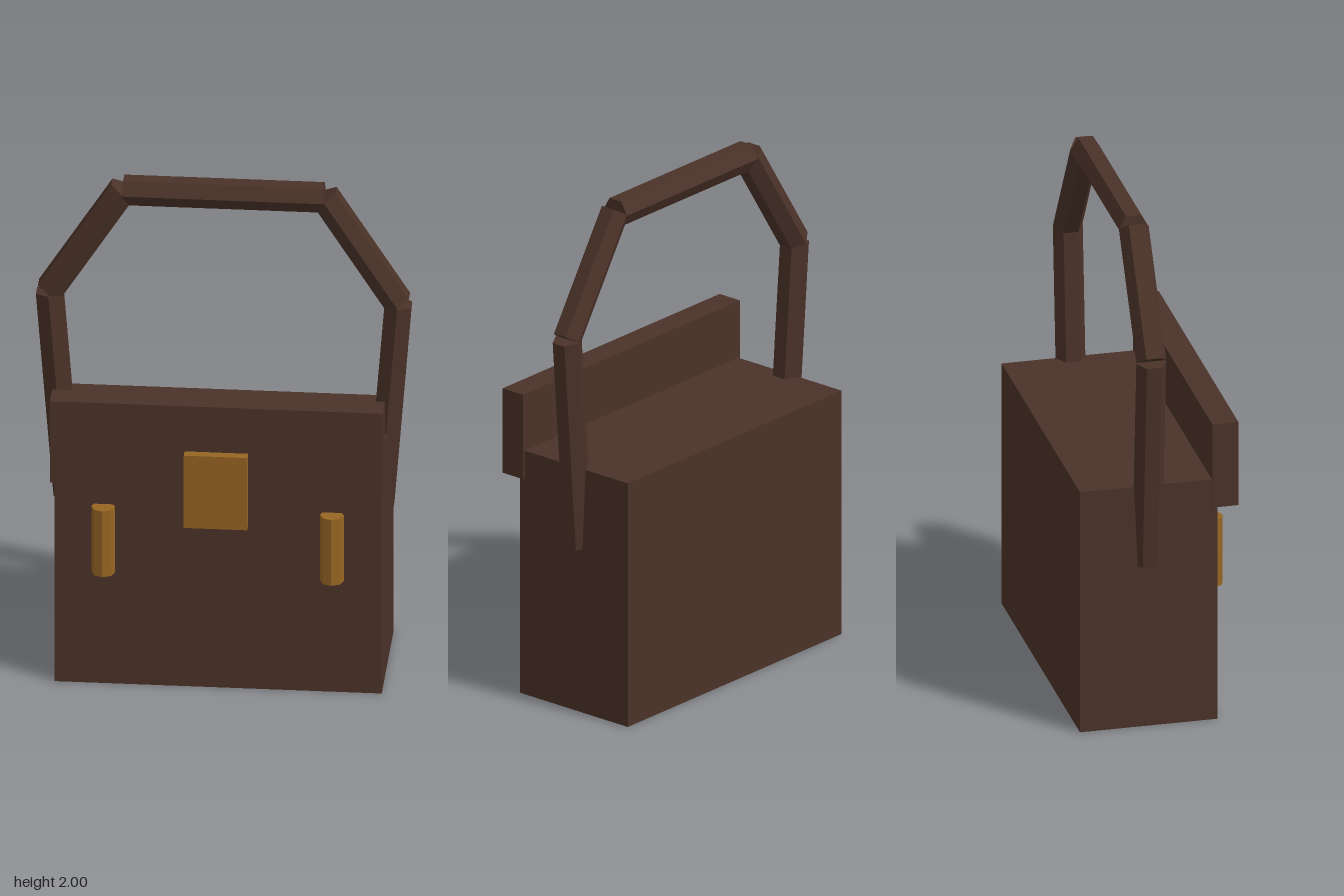
import * as THREE from 'three';

export function createModel() {
  const bag = new THREE.Group();
  bag.name = 'satchel';

  const leather = new THREE.MeshStandardMaterial({ color: 0x4a3228, flatShading: true });
  leather.name = 'brown leather';
  const brass = new THREE.MeshStandardMaterial({ color: 0x966522, flatShading: true });
  brass.name = 'brass';

  function add(name, geometry, material, x, y, z) {
    const mesh = new THREE.Mesh(geometry, material);
    mesh.name = name;
    mesh.position.set(x, y, z);
    bag.add(mesh);
    return mesh;
  }

  // Box given by its half width and its y and z limits
  function addBox(name, material, halfWidth, y0, y1, z0, z1) {
    const geometry = new THREE.BoxGeometry(halfWidth * 2, y1 - y0, z1 - z0);
    add(name, geometry, material, 0, (y0 + y1) / 2, (z0 + z1) / 2);
  }

  addBox('body', leather, 0.62, 0, 0.99, -0.325, 0.21);
  addBox('flap', leather, 0.63, 0.877, 1.22, 0.187, 0.288);
  addBox('clasp', brass, 0.12, 0.725, 1.03, 0.285, 0.325);

  // Octagonal buckles on the front
  for (const [side, sign] of [['left', 1], ['right', -1]]) {
    add(side + 'Buckle', new THREE.CylinderGeometry(0.045, 0.045, 0.277, 8), brass, sign * 0.433, 0.617, 0.23);
  }

  // Handle: straight hexagonal bars, open at the joints as separate pieces
  function addBar(name, x0, y0, x1, y1) {
    const length = Math.hypot(x1 - x0, y1 - y0);
    const geometry = new THREE.CylinderGeometry(0.058, 0.058, length, 6);
    const bar = add(name, geometry, leather, (x0 + x1) / 2, (y0 + y1) / 2, -0.058);
    bar.rotation.z = Math.atan2(x0 - x1, y1 - y0);
  }
  for (const [side, sign] of [['left', 1], ['right', -1]]) {
    addBar(side + 'HandleLower', sign * 0.593, 0.665, sign * 0.66, 1.515);
    addBar(side + 'HandleUpper', sign * 0.66, 1.52, sign * 0.382, 1.955);
  }
  addBar('handleTop', -0.38, 1.95, 0.38, 1.95);

  return bag;
}
